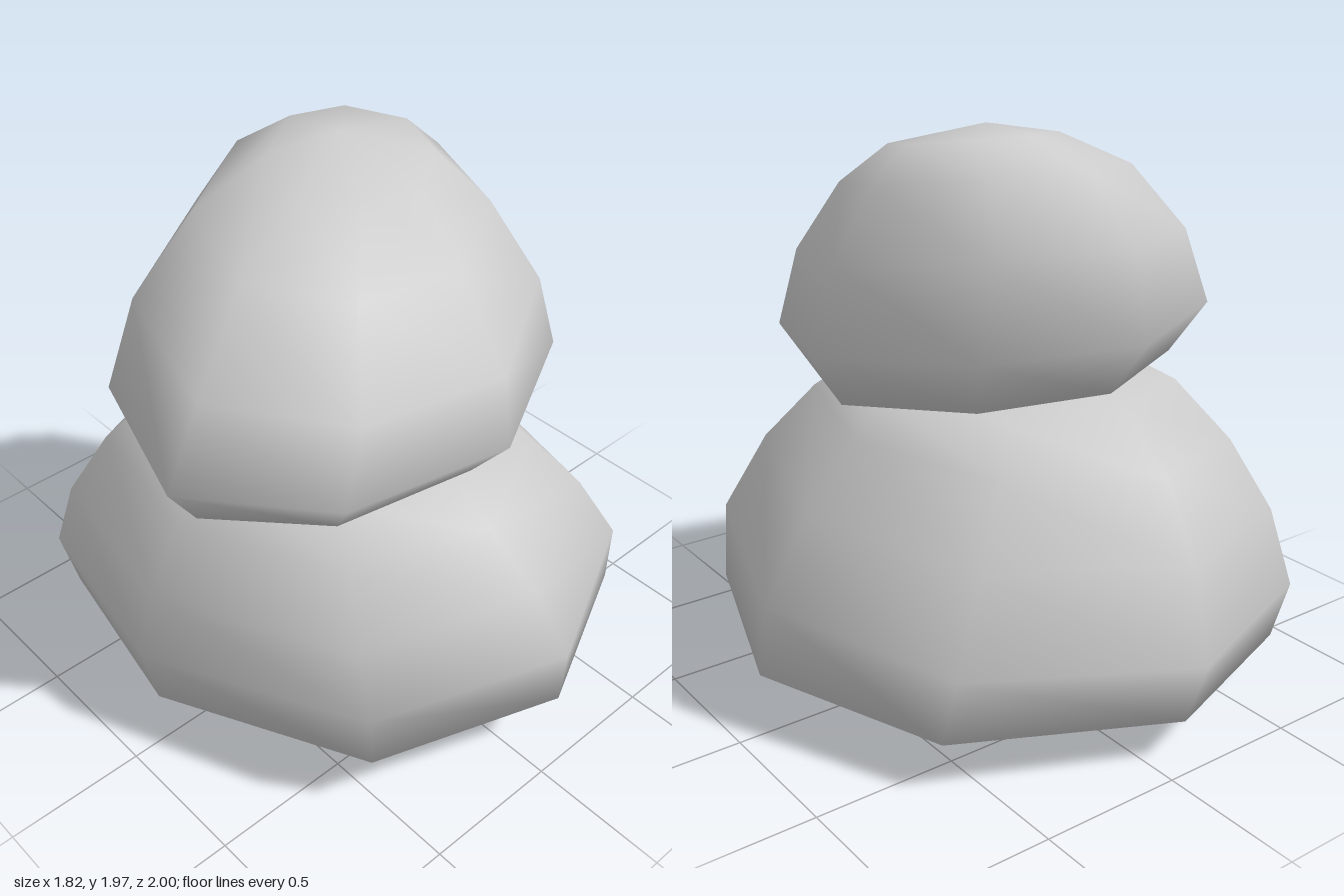
import * as THREE from 'three';

// Closed smooth stone: one eight-sided plan outline, stretched into tilted rings between two poles.
// ring: [xMin, xMax, zMin, zMax, height, tilt along x, tilt along z]
function stone(name, outline, bottom, rings, top) {
  const n = outline.length;
  const xs = outline.map((p) => p[0]), zs = outline.map((p) => p[1]);
  const x0 = Math.min(...xs), x1 = Math.max(...xs);
  const z0 = Math.min(...zs), z1 = Math.max(...zs);
  const pos = [...bottom], index = [];

  for (const [xa, xb, za, zb, y, tx, tz] of rings) {
    for (const [px, pz] of outline) {
      const x = THREE.MathUtils.mapLinear(px, x0, x1, xa, xb);
      const z = THREE.MathUtils.mapLinear(pz, z0, z1, za, zb);
      pos.push(x, y + tx * x + tz * z, z);
    }
  }
  pos.push(...top);

  const at = (i, j) => 1 + i * n + (j % n);
  const last = rings.length - 1, tip = 1 + rings.length * n;
  for (let j = 0; j < n; j++) {
    index.push(0, at(0, j), at(0, j + 1));
    for (let i = 0; i < last; i++) {
      index.push(at(i, j), at(i + 1, j), at(i + 1, j + 1));
      index.push(at(i, j), at(i + 1, j + 1), at(i, j + 1));
    }
    index.push(tip, at(last, j + 1), at(last, j));
  }

  const geometry = new THREE.BufferGeometry();
  geometry.setAttribute('position', new THREE.Float32BufferAttribute(pos, 3));
  geometry.setIndex(index);
  geometry.computeVertexNormals();
  const mesh = new THREE.Mesh(geometry, new THREE.MeshStandardMaterial({ color: 0xcccccc }));
  mesh.name = name;
  return mesh;
}

export function createModel() {
  const group = new THREE.Group();
  group.name = 'stackedStones';

  // Wide stone resting on the ground
  group.add(stone('lowerStone',
    [[-0.12, -1], [0.62, -0.67], [0.91, 0], [0.69, 0.7], [0.08, 1], [-0.58, 0.75], [-0.91, -0.02], [-0.76, -0.77]],
    [0.05, 0, 0],
    [
      [-0.6, 0.66, -0.63, 0.65, 0.055, 0.01, 0.03],
      [-0.87, 0.91, -0.95, 0.96, 0.21, 0.01, 0.06],
      [-0.91, 0.88, -1, 1, 0.445, 0.02, 0.085],
      [-0.85, 0.71, -0.9, 0.9, 0.715, 0.045, 0.07],
      [-0.72, 0.53, -0.75, 0.73, 0.94, 0.055, 0.04],
      [-0.57, 0.41, -0.56, 0.57, 1.085, 0.01, -0.01],
    ],
    [-0.06, 1.17, 0]));

  // Smaller leaning stone, peak shifted to the back left
  group.add(stone('upperStone',
    [[-0.16, -0.64], [0.37, -0.5], [0.7, -0.06], [0.55, 0.42], [0.04, 0.69], [-0.54, 0.58], [-0.89, 0.19], [-0.73, -0.33]],
    [-0.05, 1.04, 0.05],
    [
      [-0.57, 0.42, -0.3, 0.4, 1.06, 0, -0.02],
      [-0.78, 0.58, -0.48, 0.57, 1.1, 0, -0.03],
      [-0.89, 0.7, -0.64, 0.7, 1.28, 0.01, -0.06],
      [-0.74, 0.62, -0.63, 0.65, 1.55, 0.03, -0.12],
      [-0.48, 0.51, -0.51, 0.41, 1.78, 0.03, -0.14],
      [-0.17, 0.39, -0.37, 0.16, 1.9, 0.02, -0.14],
    ],
    [0.11, 1.97, -0.16]));

  return group;
}
